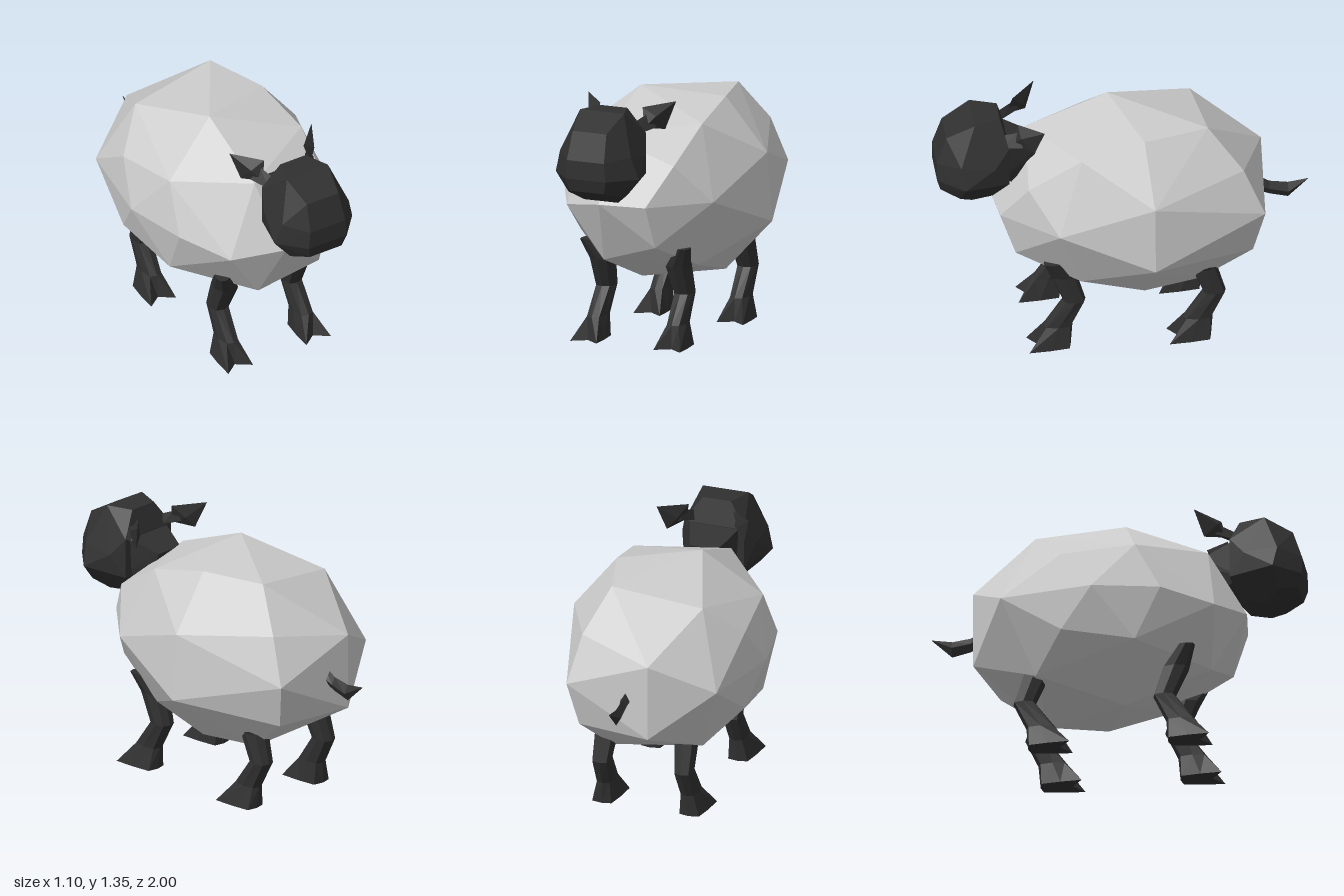
import * as THREE from 'three';
import { ConvexGeometry } from 'three/addons/geometries/ConvexGeometry.js';

const wool = new THREE.MeshStandardMaterial({ color: 0xcccccc, flatShading: true });
const dark = new THREE.MeshStandardMaterial({ color: 0x303030, flatShading: true });

function part(name, geometry, material) {
  const mesh = new THREE.Mesh(geometry, material);
  mesh.name = name;
  return mesh;
}

// Faceted solid around a few corner points, optionally mirrored in x
function facets(points, mirror = false) {
  const corners = points.map(p => new THREE.Vector3(...p));
  if (mirror) corners.push(...points.map(([x, y, z]) => new THREE.Vector3(-x, y, z)));
  return new ConvexGeometry(corners);
}

// Skin over a series of equal-sized rings, capped at both ends
function loft(rings) {
  const n = rings[0].length, index = [];
  const last = (rings.length - 1) * n;
  for (let r = 0; r < rings.length - 1; r++) {
    for (let i = 0; i < n; i++) {
      const a = r * n + i, b = r * n + (i + 1) % n;
      index.push(a, a + n, b, b, a + n, b + n);
    }
  }
  const positions = rings.flat(2);
  const middle = ring => [0, 1, 2].map(k => ring.reduce((s, p) => s + p[k], 0) / n);
  positions.push(...middle(rings[0]), ...middle(rings[rings.length - 1]));
  const c = rings.length * n;
  for (let i = 0; i < n; i++) {
    const j = (i + 1) % n;
    index.push(c, i, j, c + 1, last + j, last + i);
  }
  const g = new THREE.BufferGeometry();
  g.setAttribute('position', new THREE.Float32BufferAttribute(positions, 3));
  g.setIndex(index);
  const flat = g.toNonIndexed();
  flat.computeVertexNormals();
  return flat;
}

// Irregular faceted fleece
const fleecePoints = [
  // back ridge and belly
  [-0.14, 1.32, 0.06], [0.29, 1.27, -0.09], [0.19, 1.27, -0.44], [-0.31, 1.2, -0.4],
  [-0.13, 0.28, 0.06], [0.29, 0.33, -0.09], [0.2, 0.33, -0.4], [-0.31, 0.4, -0.4],
  // chest
  [-0.07, 0.8, 0.7], [0.19, 0.8, 0.67], [0.29, 1.01, 0.53], [-0.14, 1.14, 0.5],
  [-0.33, 0.75, 0.56], [0.21, 0.57, 0.59], [-0.13, 0.46, 0.52],
  // left flank
  [0.32, 1.19, 0.25], [0.45, 0.8, 0.38], [0.3, 0.42, 0.25], [0.52, 0.98, -0.12], [0.55, 0.61, -0.12],
  // right flank
  [-0.48, 0.8, 0.29], [-0.45, 1.07, 0.15], [-0.45, 0.52, 0.15], [-0.55, 0.8, -0.07],
  [-0.49, 1.02, -0.24], [-0.49, 0.58, -0.24],
  // rump
  [-0.45, 0.8, -0.57], [0.34, 0.8, -0.73], [0.29, 1.05, -0.62], [0.29, 0.55, -0.67],
  [-0.13, 0.98, -0.76], [-0.13, 0.56, -0.76],
];

// Skull and muzzle, half of the corners
const headPoints = [
  [0.08, 1.335, 0.66], [0.13, 1.335, 0.8], [0.1, 1.25, 0.95], [0.11, 1.1, 1], [0.12, 1, 1],
  [0.1, 0.93, 0.98], [0.21, 1.12, 0.88], [0.245, 1, 0.86], [0.16, 0.9, 0.88], [0.1, 0.85, 0.81],
  [0.1, 0.87, 0.7], [0.17, 0.98, 0.62], [0.17, 1.2, 0.62], [0.21, 1.1, 0.7],
];

const neckPoints = [
  [0.08, 1.14, 0.46], [0.08, 1.08, 0.48], [0.1, 0.95, 0.6], [0.14, 1.2, 0.63], [0.14, 1, 0.66],
];

const earStem = [
  [0.11, 1.25, 0.67], [0.15, 1.2, 0.66], [0.11, 1.21, 0.63],
  [0.15, 1.29, 0.57], [0.2, 1.22, 0.55], [0.16, 1.24, 0.53],
];
const earLeaf = [
  [0.26, 1.345, 0.44], [0.125, 1.325, 0.57], [0.22, 1.2, 0.49],
  [0.15, 1.22, 0.6], [0.2, 1.28, 0.56], [0.17, 1.26, 0.51],
];

// Leg rings: height, centre x, centre z, half width, half depth
const legRings = [
  [0, 0.247, 0.415, 0.078, 0.115],
  [0.12, 0.237, 0.37, 0.048, 0.08],
  [0.27, 0.232, 0.28, 0.053, 0.06],
  [0.43, 0.225, 0.34, 0.065, 0.072],
  [0.54, 0.285, 0.405, 0.035, 0.045],
];
const round = [[1, 0], [0.75, 0.8], [0, 1], [-0.75, 0.8], [-1, 0], [-0.75, -0.8], [0, -1], [0.75, -0.8]];
const cloven = [[0.9, 0], [1, 0.85], [0, 0.5], [-1, 0.85], [-0.9, 0], [-0.7, -0.9], [0, -1], [0.7, -0.9]];
// toe tips reach furthest forward
cloven[1][1] = cloven[3][1] = 1;

function legGeometry(offsetZ, topY) {
  return loft(legRings.map(([y, x, z, rx, rz], i) =>
    (i ? round : cloven).map(([u, v]) => [x + u * rx, i === 4 ? topY : y, z + v * rz + offsetZ])));
}

// Tail rings: z, centre height, half width, half height
const tailRings = [
  [-0.7, 0.79, 0.035, 0.05], [-0.79, 0.745, 0.02, 0.04], [-0.89, 0.725, 0.027, 0.045], [-0.998, 0.785, 0.002, 0.002],
];
const tailOutline = [[1, 0], [0, 1], [-1, 0], [0, -1]];

export function createModel() {
  const sheep = new THREE.Group();
  sheep.name = 'sheep';
  sheep.add(part('fleece', facets(fleecePoints), wool));

  const head = new THREE.Group();
  head.name = 'head';
  head.add(part('skull', facets(headPoints, true), dark), part('neck', facets(neckPoints, true), dark));
  sheep.add(head);

  // Ears and legs, mirrored left to right
  for (const [side, sign] of [['left', 1], ['right', -1]]) {
    const ear = new THREE.Group();
    ear.name = side + 'Ear';
    ear.add(part('earStem', facets(earStem), dark), part('earLeaf', facets(earLeaf), dark));
    ear.scale.x = sign;
    head.add(ear);
    for (const [end, offset, top] of [['Front', 0, 0.54], ['Rear', -0.75, 0.48]]) {
      const leg = part(side + end + 'Leg', legGeometry(offset, top), dark);
      leg.scale.x = sign;
      sheep.add(leg);
    }
  }

  sheep.add(part('tail', loft(tailRings.map(([z, y, rx, ry]) =>
    tailOutline.map(([u, v]) => [u * rx, y + v * ry, z]))), dark));
  return sheep;
}
